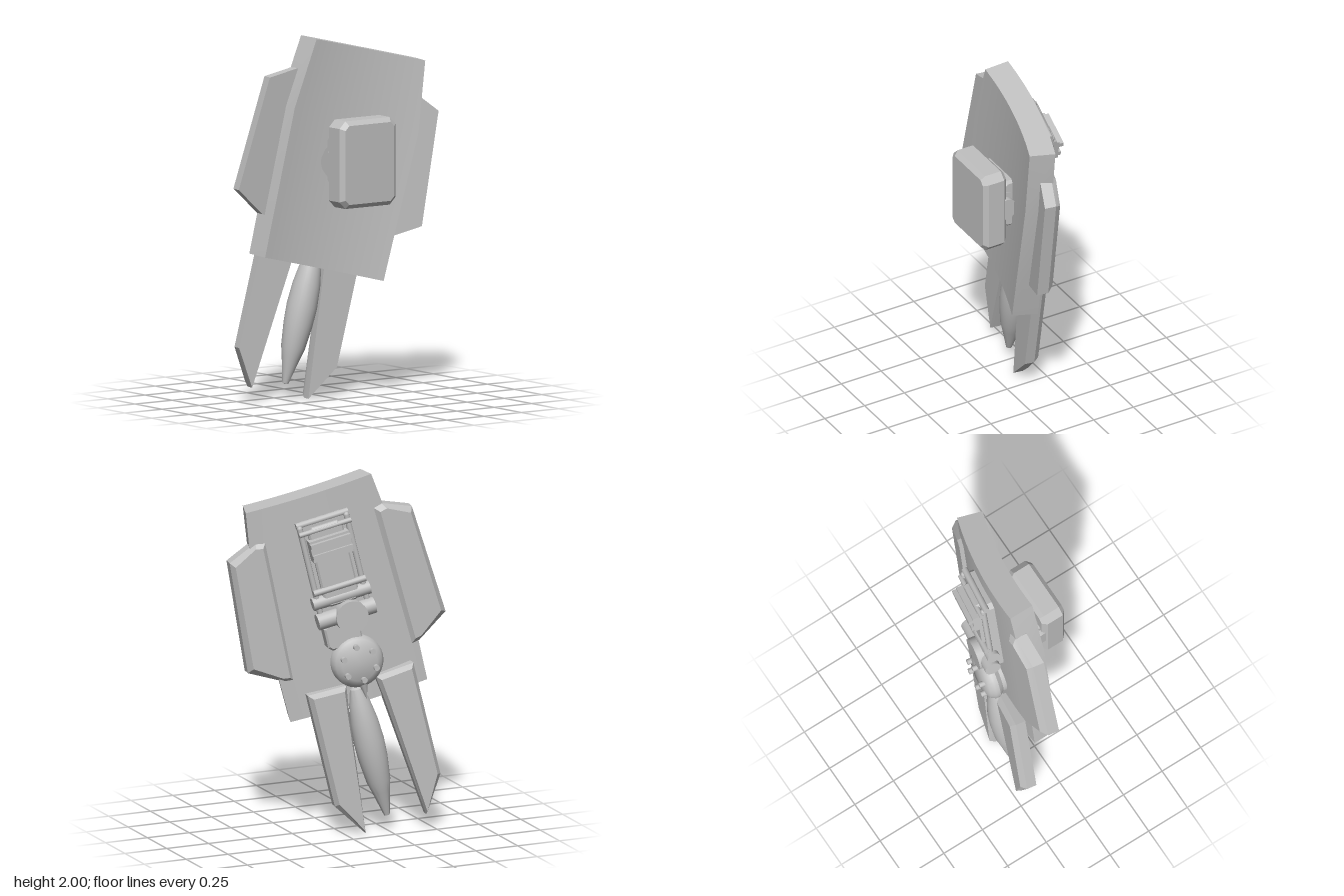
import * as THREE from 'three';
import { toCreasedNormals } from 'three/addons/utils/BufferGeometryUtils.js';

const gray = new THREE.MeshStandardMaterial({ color: 0xc0c0c0 });
gray.name = 'plainGrey';

function add(parent, name, geometry, x = 0, y = 0, z = 0) {
  const mesh = new THREE.Mesh(geometry, gray);
  mesh.name = name;
  mesh.position.set(x, y, z);
  parent.add(mesh);
  return mesh;
}

function moveVertices(geometry, rule) {
  const p = geometry.attributes.position;
  const v = new THREE.Vector3();
  for (let i = 0; i < p.count; i++) {
    rule(v.fromBufferAttribute(p, i));
    p.setXYZ(i, v.x, v.y, v.z);
  }
  return toCreasedNormals(geometry, 0.35);
}

// Flat plate whose outer face (-z) has a sloped border
function bevelPlate(points, side, back, rim, face, inset, tilt = 0) {
  const pts = points.map(([x, y]) => new THREE.Vector2(x * side, y));
  const box = new THREE.Box2().setFromPoints(pts);
  const c = box.getCenter(new THREE.Vector2());
  const s = box.getSize(new THREE.Vector2());
  const g = new THREE.ExtrudeGeometry(new THREE.Shape(pts), { depth: 1, steps: 2, bevelEnabled: false });
  return moveVertices(g, (v) => {
    const level = Math.round(v.z * 2);
    if (level === 0) {
      v.x = c.x + (v.x - c.x) * (1 - 2 * inset / s.x);
      v.y = c.y + (v.y - c.y) * (1 - 2 * inset / s.y);
    }
    v.z = [face, rim, back][level] + tilt * (Math.abs(v.x) - 0.45);
  });
}

function cutRect(w, h, cut) {
  const x = w / 2, y = h / 2;
  return new THREE.Shape([[x - cut, -y], [x, -y + cut], [x, y - cut], [x - cut, y],
    [-x + cut, y], [-x, y - cut], [-x, -y + cut], [-x + cut, -y]].map(([a, b]) => new THREE.Vector2(a, b)));
}

// Box with cut corners and chamfered front and back, centred
function chamferBox(w, h, d, cut, chamfer) {
  const g = new THREE.ExtrudeGeometry(cutRect(w - 2 * chamfer, h - 2 * chamfer, cut), {
    depth: d - 2 * chamfer, bevelSize: chamfer, bevelThickness: chamfer, bevelSegments: 1 });
  return g.translate(0, 0, -d / 2 + chamfer);
}

export function createModel() {
  const model = new THREE.Group();
  model.name = 'armShield';

  // Tilted shield frame: x across, y along, z towards the arm
  const shield = new THREE.Group();
  shield.name = 'shield';
  const across = new THREE.Vector3(0.155, -0.237, -0.972).normalize();
  const up = new THREE.Vector3(0.04, 0.972, -0.237);
  up.addScaledVector(across, -up.dot(across)).normalize();
  const normal = new THREE.Vector3().crossVectors(across, up);
  shield.quaternion.setFromRotationMatrix(new THREE.Matrix4().makeBasis(across, up, normal));
  shield.position.set(0.065, 1.3, 0);
  model.add(shield);

  // Curved main plate, thickened along its own normal
  const rows = [[0.371, -0.576], [0.387, 0.253], [0.34, 0.641]];
  const plate = moveVertices(new THREE.BoxGeometry(2, 2, 1, 20, 2, 1), (v) => {
    const [half, y] = rows[Math.round(v.y) + 1];
    const x = v.x * half;
    const slope = 0.06 * x / 0.1225;
    const depth = v.z < 0 ? 0.143 / Math.hypot(1, slope) : 0;
    v.set(x + slope * depth, y, 0.03 * (x * x / 0.1225 - 1) - depth);
  });
  add(shield, 'mainPlate', plate, 0.006);

  // Side wings and lower blades
  const wing = [[0.31, 0.455], [0.362, 0.463], [0.528, 0.386], [0.573, -0.246], [0.386, -0.35], [0.34, -0.355]];
  const blade = [[0.306, -0.44], [0.306, -1.09], [0.176, -1.288], [0.102, -0.58], [0.085, -0.45]];
  for (const side of [-1, 1]) {
    const label = side < 0 ? 'front' : 'back';
    add(shield, label + 'Wing', bevelPlate(wing, side, -0.06, -0.125, -0.155, 0.03, 0.14), -0.012);
    add(shield, label + 'Blade', bevelPlate(blade, side, -0.15, -0.205, -0.235, 0.022), -0.017);
  }

  const gear = new THREE.Group();
  gear.name = 'outerGear';
  gear.position.x = -0.017;
  shield.add(gear);

  // Spindle-shaped projectile between the blades
  const spindle = [[0, -1.235], [0.016, -1.232], [0.05, -1.09], [0.066, -1.03], [0.08, -0.9],
    [0.084, -0.8], [0.076, -0.68], [0.058, -0.57], [0.035, -0.49], [0, -0.47]];
  const spindleGeo = new THREE.LatheGeometry(spindle.map(([r, y]) => new THREE.Vector2(r, y)), 28);
  add(gear, 'projectile', toCreasedNormals(spindleGeo, 0.5), 0.03, 0, -0.175);
  const fin = add(gear, 'projectileFin', new THREE.ConeGeometry(0.025, 0.1, 12), 0.0, -0.5, -0.245);
  fin.rotation.x = Math.PI;

  // Round hub with six studs
  const hub = [[0, 0.29], [0.1, 0.285], [0.13, 0.268], [0.146, 0.24], [0.146, 0.215], [0.125, 0.19], [0.125, 0.15]];
  const hubGeo = new THREE.LatheGeometry(hub.reverse().map(([r, y]) => new THREE.Vector2(r, y)), 36);
  const hubMesh = add(gear, 'hub', toCreasedNormals(hubGeo, 0.6), 0, -0.325, 0);
  hubMesh.rotation.x = -Math.PI / 2;
  for (let i = 0; i < 6; i++) {
    const a = (i + 0.5) * Math.PI / 3;
    const stud = add(gear, 'hubStud', new THREE.CylinderGeometry(0.016, 0.016, 0.04, 12),
      0.095 * Math.cos(a), -0.325 + 0.095 * Math.sin(a), -0.29);
    stud.rotation.x = Math.PI / 2;
  }

  // Equipment rack with rails, bars and a stepped block
  add(gear, 'rackBase', chamferBox(0.28, 0.6, 0.08, 0.02, 0.01), 0, 0.21, -0.19);
  add(gear, 'rackPanel', chamferBox(0.2, 0.46, 0.04, 0.02, 0.01), 0, 0.25, -0.235);
  for (const side of [-1, 1]) {
    const rail = new THREE.CapsuleGeometry(0.016, 0.5, 4, 10);
    add(gear, 'rackRail', rail, side * 0.135, 0.24, -0.23);
  }
  for (const [y, r, z] of [[0.505, 0.018, -0.215], [0.46, 0.014, -0.245], [0.12, 0.018, -0.25]]) {
    const bar = add(gear, 'rackBar', new THREE.CylinderGeometry(r, r, 0.3, 12), 0, y, z);
    bar.rotation.z = Math.PI / 2;
  }
  add(gear, 'stepBlock', new THREE.BoxGeometry(0.23, 0.12, 0.06), 0, 0.36, -0.26);
  add(gear, 'stepUpper', new THREE.BoxGeometry(0.23, 0.025, 0.05), 0, 0.395, -0.29);
  add(gear, 'stepLower', new THREE.BoxGeometry(0.23, 0.025, 0.04), 0, 0.33, -0.285);

  // Cross rollers with a central wheel, and the box beneath
  for (const [y, r, z] of [[0.055, 0.036, -0.225], [-0.045, 0.045, -0.24]]) {
    const roller = add(gear, 'roller', new THREE.CylinderGeometry(r, r, 0.33, 24), 0, y, z);
    roller.rotation.z = Math.PI / 2;
  }
  const wheel = add(gear, 'rollerWheel', new THREE.CylinderGeometry(0.09, 0.09, 0.12, 28), -0.02, -0.06, -0.235);
  wheel.rotation.x = Math.PI / 2;
  add(gear, 'lowerBox', chamferBox(0.2, 0.15, 0.1, 0.015, 0.01), 0.04, -0.15, -0.2);

  // Upright arm mount on the concave side
  const mount = new THREE.Group();
  mount.name = 'armMount';
  mount.position.set(0.19, 1.33, -0.022);
  model.add(mount);
  add(mount, 'armPad', chamferBox(0.375, 0.48, 0.145, 0.025, 0.024)).rotation.y = Math.PI / 2;
  add(mount, 'mountBlock', chamferBox(0.11, 0.29, 0.27, 0.025, 0.015), -0.11, 0.005, -0.01);
  const hinges = [[0.092, 0.3], [0.062, 0.36]];
  for (const [r, length] of hinges) {
    const hinge = add(mount, 'hinge', new THREE.CylinderGeometry(r, r, length, 28), -0.07, 0, 0);
    hinge.rotation.x = Math.PI / 2;
  }
  return model;
}
